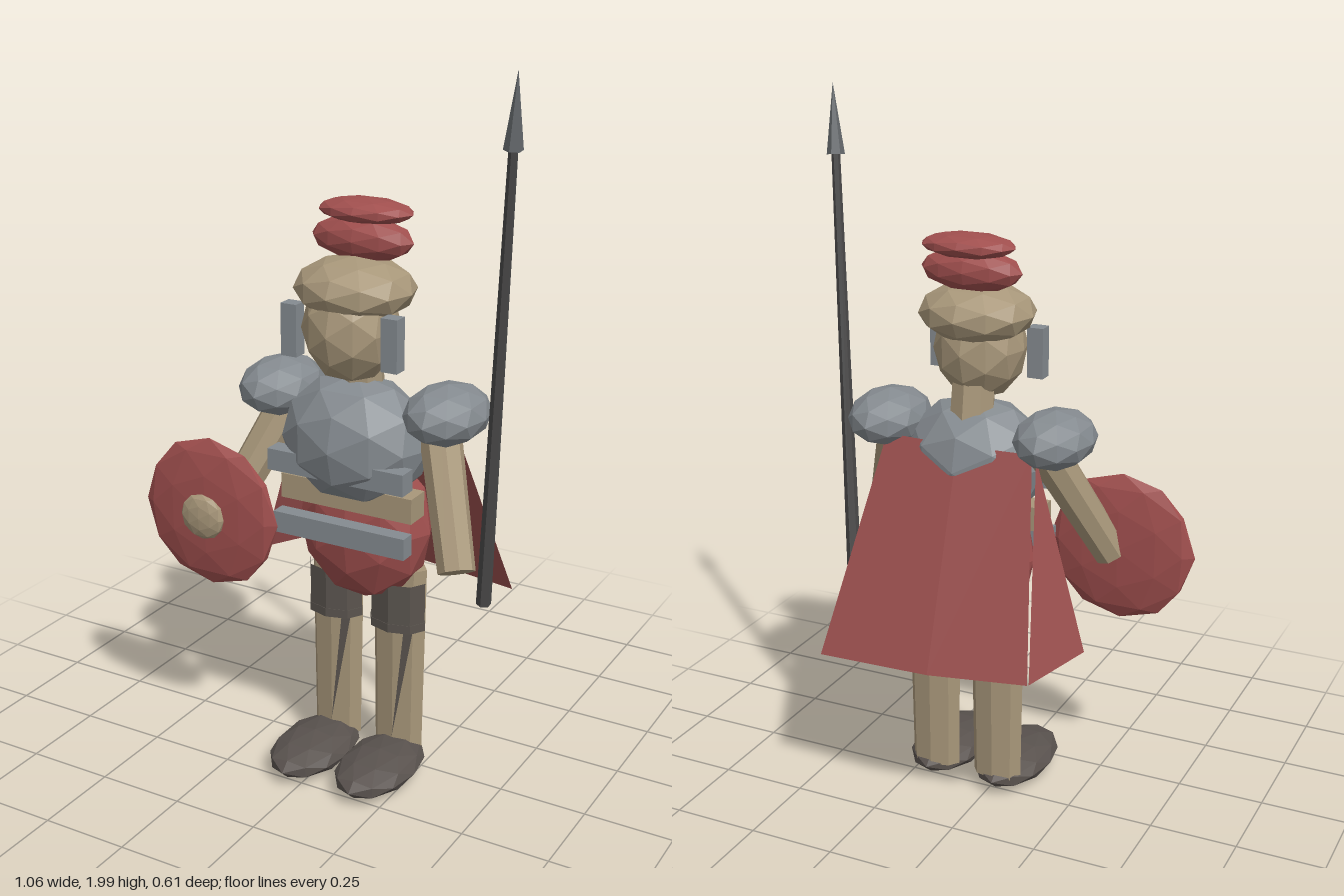
import * as THREE from 'three';

const flat = (name, color) => {
  const m = new THREE.MeshStandardMaterial({ color, flatShading: true });
  m.name = name;
  return m;
};

export function createModel() {
  const model = new THREE.Group();
  model.name = 'soldier';
  const skin = flat('tan', 0xa8977a);
  const red = flat('red', 0xa04f4e);
  const steel = flat('steel', 0x858b90);
  const dark = flat('darkLeather', 0x59524e);
  const shaftMat = flat('darkShaft', 0x4b4a4a);
  const tip = flat('spearSteel', 0x666a6d);
  const redCloth = flat('capeRed', 0x9a4f4e);
  const cuffMat = flat('cuffLeather', 0x5a544e);
  redCloth.side = cuffMat.side = THREE.DoubleSide;

  const CX = 0.075; // body centre line

  const add = (name, geo, mat) => {
    const m = new THREE.Mesh(geo, mat);
    m.name = name;
    model.add(m);
    return m;
  };
  // Faceted ellipsoid
  const blob = (name, mat, [x, y, z], [rx, ry, rz]) => {
    const m = add(name, new THREE.IcosahedronGeometry(1, 1), mat);
    m.position.set(x, y, z);
    m.scale.set(rx, ry, rz);
    return m;
  };
  // Box given by its extents
  const box = (name, mat, [x0, x1], [y0, y1], [z0, z1]) => {
    const m = add(name, new THREE.BoxGeometry(x1 - x0, y1 - y0, z1 - z0), mat);
    m.position.set((x0 + x1) / 2, (y0 + y1) / 2, (z0 + z1) / 2);
    return m;
  };
  // Tapered rod between two points
  const rod = (name, mat, a, b, ra, rb, sides = 8) => {
    const from = new THREE.Vector3(...a), to = new THREE.Vector3(...b);
    const dir = to.clone().sub(from);
    const m = add(name, new THREE.CylinderGeometry(rb, ra, dir.length(), sides), mat);
    m.position.copy(from).add(to).multiplyScalar(0.5);
    m.quaternion.setFromUnitVectors(new THREE.Vector3(0, 1, 0), dir.normalize());
    return m;
  };
  const triangles = (name, mat, pts) => {
    const g = new THREE.BufferGeometry();
    g.setAttribute('position', new THREE.Float32BufferAttribute(pts.flat(), 3));
    g.computeVertexNormals();
    return add(name, g, mat);
  };

  // Torso: tunic, breastplate and three straps across the front
  blob('tunic', red, [CX, 0.74, 0.02], [0.2, 0.23, 0.125]);
  blob('breastplate', steel, [CX, 1.0, 0.072], [0.215, 0.18, 0.158]);
  box('chestStrap', steel, [-0.13, 0.28], [0.91, 0.97], [0.14, 0.195]);
  box('waistStrap', skin, [-0.125, 0.275], [0.81, 0.88], [0.06, 0.135]);
  box('belt', steel, [-0.12, 0.28], [0.727, 0.787], [0.14, 0.185]);

  // Neck, head and helmet
  rod('neck', skin, [CX, 1.1, 0.04], [CX, 1.28, 0.06], 0.065, 0.06);
  blob('head', skin, [CX, 1.315, 0.1], [0.13, 0.15, 0.135]);
  blob('helmetCap', skin, [CX, 1.415, 0.08], [0.165, 0.085, 0.155]);
  blob('lowerCrest', red, [CX, 1.538, 0.043], [0.15, 0.06, 0.063]);
  blob('upperCrest', red, [CX, 1.607, 0.025], [0.137, 0.034, 0.08]);

  // Paired parts
  for (const s of [-1, 1]) {
    const side = s < 0 ? 'right' : 'left';
    const ex = [CX + s * 0.125, CX + s * 0.172].sort((a, b) => a - b);
    box(side + 'CheekGuard', steel, ex, [1.23, 1.372], [0.13, 0.172]);
    blob(side + 'Pauldron', steel, [CX + s * 0.252, 1.1, 0.037], [0.11, 0.08, 0.148]);
    rod(side + 'Arm', skin, [CX + s * 0.22, 1.08, 0.025], [CX + s * 0.362, 0.732, 0.19], 0.058, 0.05);
    blob(side + 'Foot', dark, [CX + s * 0.106, 0.055, 0.122], [0.109, 0.049, 0.18]);

    // Flattened leg with a cuff below the tunic
    const lx = CX + s * 0.099;
    const leg = add(side + 'Leg', new THREE.CylinderGeometry(0.082, 0.074, 0.56, 8), skin);
    leg.position.set(lx, 0.34, -0.002);
    leg.scale.z = 0.54;
    const band = add(side + 'CuffBand', new THREE.CylinderGeometry(0.086, 0.086, 0.025, 8), cuffMat);
    band.position.set(lx, 0.455, 0.011);
    band.scale.z = 0.7;
    const cuff = add(side + 'CuffFront',
      new THREE.CylinderGeometry(0.084, 0.084, 0.14, 4, 1, true, -Math.PI / 2, Math.PI), cuffMat);
    cuff.position.set(lx, 0.515, 0.011);
    cuff.scale.z = 0.7;

    // Tapered strap down one shin facet
    const onLeg = (t, y) => {
      const r = 0.0736 + (y - 0.06) * 0.0143 + 0.002;
      return [lx + r * 0.7071 * t, y, -0.002 + 0.54 * r * (1 - 0.2929 * t) + 0.001];
    };
    triangles(side + 'ShinStrap', cuffMat, [onLeg(0, 0.1), onLeg(1, 0.44), onLeg(0.55, 0.44)]);
  }

  // Shield with boss
  blob('shield', red, [-0.315, 0.75, 0.2], [0.217, 0.217, 0.037]);
  blob('shieldBoss', skin, [-0.315, 0.75, 0.243], [0.07, 0.066, 0.022]);

  // Spear
  const low = new THREE.Vector3(0.402, 0.53, -0.06), high = new THREE.Vector3(0.525, 2.0, 0.11);
  const neck = low.clone().lerp(high, 0.87);
  rod('spearShaft', shaftMat, low.toArray(), neck.toArray(), 0.021, 0.012, 6);
  rod('spearHead', tip, neck.toArray(), high.toArray(), 0.025, 0, 6);

  // Cape: main panel in two quads, and a separate side flap
  const tl = [-0.14, 1.07, -0.035], tm = [CX, 1.07, -0.05], tr = [0.3, 1.07, -0.035];
  const bl = [-0.24, 0.52, -0.282], bm = [0.045, 0.5, -0.305], br = [0.39, 0.48, -0.282];
  triangles('cape', redCloth, [tl, tm, bm, tl, bm, bl, tm, tr, br, tm, br, bm]);
  triangles('capeFlap', redCloth, [[-0.15, 1.06, -0.03], [-0.243, 0.52, -0.278], [-0.315, 0.54, -0.07]]);

  return model;
}
